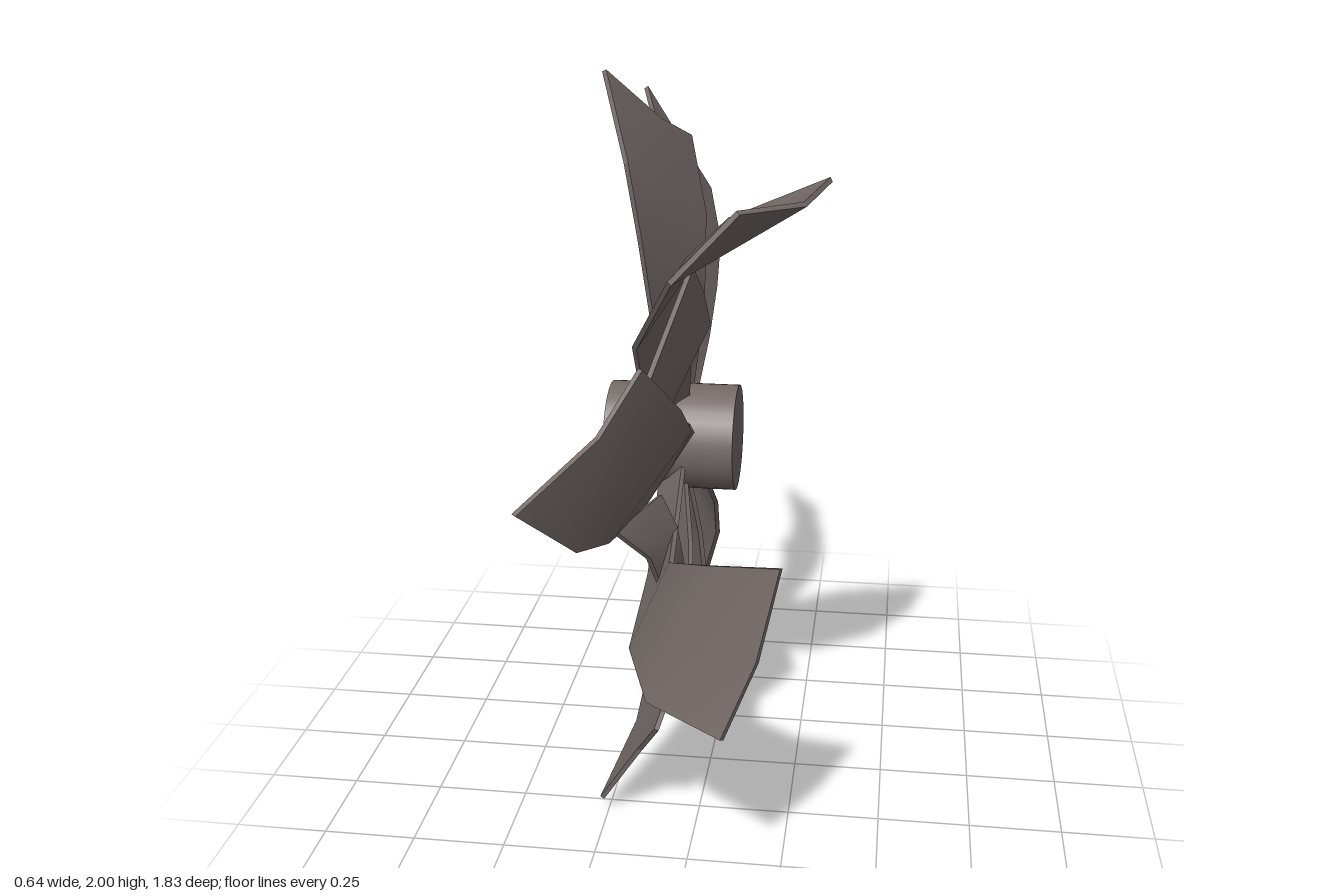
import * as THREE from 'three';

const HUB_Y = 0.987, HUB_Z = -0.093;
const THICKNESS = 0.013;

// Curved sheet with thickness, from rows of [x, y, z] points running root to tip
function sheet(rows) {
  const nr = rows.length, nc = rows[0].length, n = nr * nc;
  const pts = rows.flat().map(p => new THREE.Vector3(...p));
  const faces = [];
  for (let i = 0; i < nr - 1; i++) {
    for (let j = 0; j < nc - 1; j++) {
      const a = i * nc + j, b = a + 1, c = a + nc, d = c + 1;
      faces.push(a, b, d, a, d, c);
    }
  }
  const mid = new THREE.BufferGeometry().setFromPoints(pts);
  mid.setIndex(faces);
  mid.computeVertexNormals();
  const normals = mid.attributes.normal;
  const shifted = s => pts.map((p, i) =>
    p.clone().addScaledVector(new THREE.Vector3().fromBufferAttribute(normals, i), s * THICKNESS / 2));
  const front = shifted(1), back = shifted(-1);
  const all = [...front, ...back];
  const index = [...faces];
  for (let k = 0; k < faces.length; k += 3) index.push(faces[k] + n, faces[k + 2] + n, faces[k + 1] + n);

  // Rim around the outline, with its own vertices so the edges stay sharp
  const loop = [];
  for (let j = 0; j < nc - 1; j++) loop.push(j);
  for (let i = 0; i < nr - 1; i++) loop.push(i * nc + nc - 1);
  for (let j = nc - 1; j > 0; j--) loop.push((nr - 1) * nc + j);
  for (let i = nr - 1; i > 0; i--) loop.push(i * nc);
  loop.forEach((p, k) => {
    const q = loop[(k + 1) % loop.length], o = all.length;
    all.push(back[p], back[q], front[q], front[p]);
    index.push(o, o + 1, o + 2, o, o + 2, o + 3);
  });
  const g = new THREE.BufferGeometry().setFromPoints(all);
  g.setIndex(index);
  g.computeVertexNormals();
  return g;
}

// Adds a middle column between leading and trailing edges
function withMiddle(lead, trail, endMiddle) {
  return lead.map((p, i) => {
    const last = endMiddle && i === lead.length - 1;
    return [p, last ? endMiddle : p.map((v, k) => (v + trail[i][k]) / 2), trail[i]];
  });
}

// Whole blade edges: [across, up, x] around the hub axis
const LEAD = [[0.04, 0.11, -0.14], [0.07, 0.41, -0.14], [0.18, 0.63, -0.165], [0.29, 0.78, -0.195], [0.5, 0.89, -0.265]];
const TRAIL = [[0.1, 0.07, -0.07], [0.2, 0.23, -0.045], [0.29, 0.355, -0.035], [0.415, 0.46, -0.04], [0.585, 0.58, -0.09]];
const END = [0.52, 0.7, -0.15];

function bladeRows(angle, widen, bend) {
  const place = ([u, v, x], extra) => {
    const a = THREE.MathUtils.degToRad(angle - extra), c = Math.cos(a), s = Math.sin(a);
    return [-0.11 + (x + 0.11) * bend, HUB_Y + u * s + v * c, HUB_Z - (u * c - v * s)];
  };
  return withMiddle(
    LEAD.map(p => place(p, 0)),
    TRAIL.map((p, i) => place(p, widen * i / 4)),
    place(END, widen / 2));
}

export function createModel() {
  const group = new THREE.Group();
  const metal = new THREE.MeshStandardMaterial({ color: 0x746a67 });
  metal.name = 'dull metal';
  const add = (name, geometry) => {
    const mesh = new THREE.Mesh(geometry, metal);
    mesh.name = name;
    group.add(mesh);
    return mesh;
  };

  // Hub lying along x
  const hub = add('hub', new THREE.CylinderGeometry(0.147, 0.147, 0.355, 32));
  hub.rotation.z = Math.PI / 2;
  hub.position.set(-0.1125, HUB_Y, HUB_Z);

  // Undamaged blades: angle, extra width in degrees, bend
  [[36.5, 3, 1], [0, 0, 1], [-97.5, 0, 1], [-134.5, 0, 1], [-174, 0, 1], [109.7, 5, 1.33]]
    .forEach((b, i) => add('blade' + (i + 1), sheet(bladeRows(...b))));

  // Blade with its tip folded outward, lower front
  add('bentLowerBlade', sheet(withMiddle(
    [[-0.14, 0.88, 0], [-0.14, 0.69, 0.2], [-0.16, 0.565, 0.39], [-0.085, 0.52, 0.58], [0.12, 0.52, 0.735]],
    [[-0.07, 0.95, 0.03], [-0.06, 0.86, 0.24], [-0.04, 0.85, 0.46], [0.07, 0.915, 0.6], [0.25, 0.945, 0.66]],
    [0.2, 0.715, 0.7])));

  // Blade with its tip folded outward, upper front
  add('bentUpperBlade', sheet(withMiddle(
    [[-0.14, 1.08, 0.01], [-0.14, 1.2, 0.25], [-0.14, 1.38, 0.375], [-0.02, 1.6, 0.585], [0.135, 1.765, 0.585]],
    [[-0.07, 1.1, -0.06], [-0.05, 1.28, 0.05], [-0.04, 1.55, 0.155], [0.07, 1.66, 0.175], [0.32, 1.77, 0.195]],
    [0.27, 1.745, 0.375])));

  // Broken blade pieces caught between the others
  add('upperFragment', sheet(withMiddle(
    [[-0.08, 1.183, 0.205], [-0.09, 1.235, 0.34], [-0.1, 1.305, 0.5]],
    [[-0.01, 1.33, -0.03], [-0.015, 1.445, 0.065], [-0.03, 1.53, 0.155]])));
  add('lowerFragment', sheet(withMiddle(
    [[-0.175, 0.95, 0.51], [-0.1, 0.855, 0.45], [-0.07, 0.68, 0.345], [-0.09, 0.525, 0.325]],
    [[-0.1, 0.95, 0.265], [-0.06, 0.86, 0.26], [-0.05, 0.75, 0.222], [-0.08, 0.545, 0.217]])));

  return group;
}
